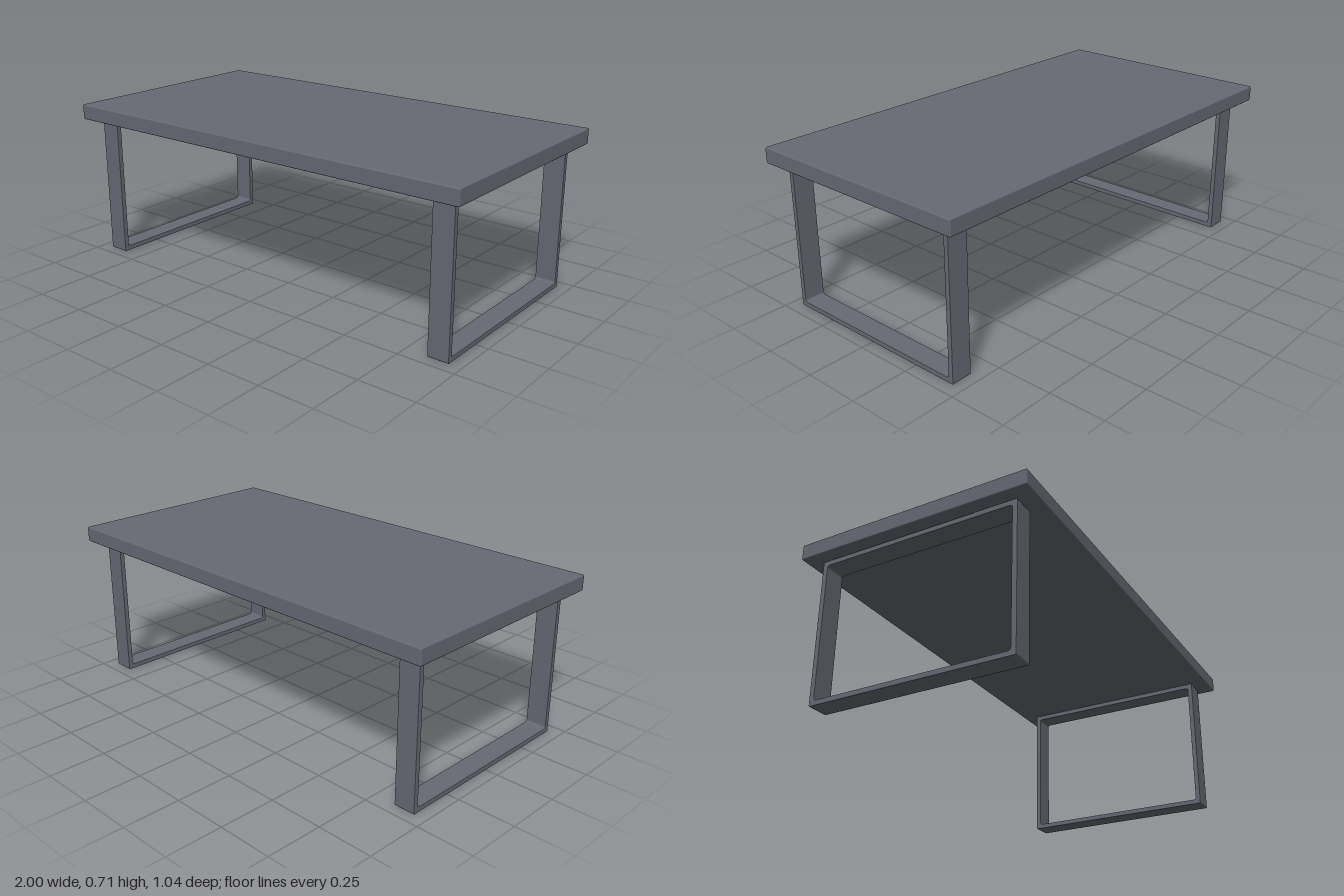
import * as THREE from 'three';
import { RoundedBoxGeometry } from 'three/addons/geometries/RoundedBoxGeometry.js';

const TOP = { width: 2, depth: 1.04, bottom: 0.641, height: 0.069 };
const LEG = { depth: 0.9, height: 0.638, width: 0.094, bar: 0.022, x: 0.898 };

// Traces a rounded rectangle, centred on x, into a shape or hole path
function roundedRect(path, width, y0, y1, r) {
  const w = width / 2;
  path.moveTo(-w + r, y0);
  path.lineTo(w - r, y0);
  path.quadraticCurveTo(w, y0, w, y0 + r);
  path.lineTo(w, y1 - r);
  path.quadraticCurveTo(w, y1, w - r, y1);
  path.lineTo(-w + r, y1);
  path.quadraticCurveTo(-w, y1, -w, y1 - r);
  path.lineTo(-w, y0 + r);
  path.quadraticCurveTo(-w, y0, -w + r, y0);
  return path;
}

// Flat-bar loop with softened edges, its opening facing sideways
function legFrameGeometry() {
  const bevel = 0.002;
  const shape = roundedRect(new THREE.Shape(), LEG.depth, 0, LEG.height, 0.006);
  shape.holes.push(roundedRect(new THREE.Path(), LEG.depth - 2 * LEG.bar,
    LEG.bar, LEG.height - LEG.bar, 0.012));
  const geometry = new THREE.ExtrudeGeometry(shape, {
    depth: LEG.width - 2 * bevel, curveSegments: 5,
    bevelThickness: bevel, bevelSize: bevel, bevelOffset: -bevel, bevelSegments: 2,
  });
  geometry.translate(0, 0, bevel - LEG.width / 2);
  geometry.rotateY(Math.PI / 2);
  return geometry;
}

export function createModel() {
  const table = new THREE.Group();
  table.name = 'table';
  const slate = new THREE.MeshStandardMaterial({ color: 0x666973 });
  slate.name = 'slate grey';

  // Table top slab
  const top = new THREE.Mesh(
    new RoundedBoxGeometry(TOP.width, TOP.height, TOP.depth, 2, 0.006), slate);
  top.name = 'tableTop';
  top.position.y = TOP.bottom + TOP.height / 2;
  table.add(top);

  // One loop leg under each end
  const legGeometry = legFrameGeometry();
  for (const [name, side] of [['leftLegFrame', 1], ['rightLegFrame', -1]]) {
    const leg = new THREE.Mesh(legGeometry, slate);
    leg.name = name;
    leg.position.x = side * LEG.x;
    table.add(leg);
  }
  return table;
}
